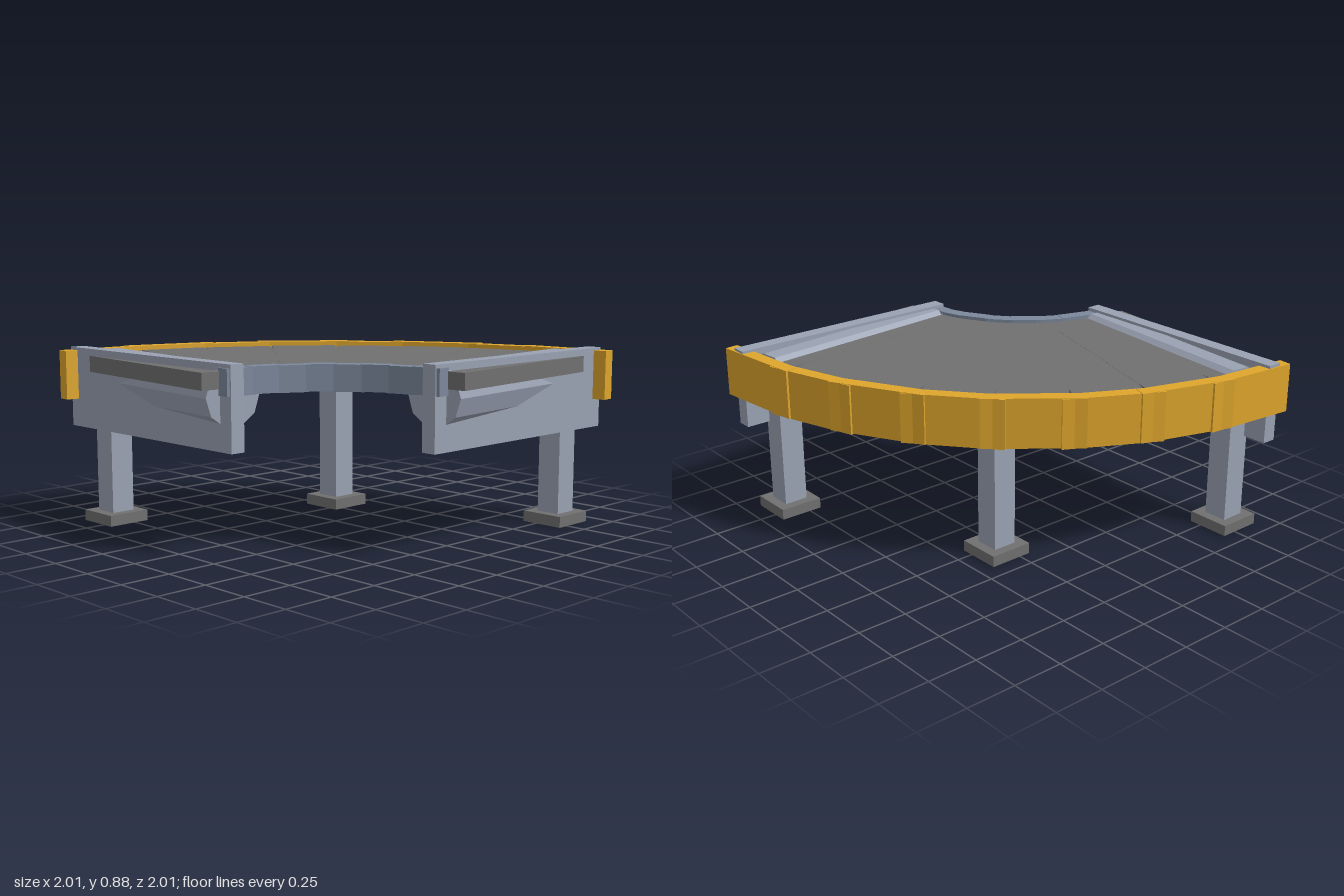
import * as THREE from 'three';

const paint = (color) => new THREE.MeshStandardMaterial({ color, flatShading: true });
const STEEL = paint(0x9aa2b3);
const INNER = paint(0x7c889c);
const YELLOW = paint(0xdfa62c);
const DARK = paint(0x707070);

const CENTRE = 0.905; // the bend turns about (-CENTRE, CENTRE)
const SEGMENTS = 8;
const STEP = Math.PI / 2 / SEGMENTS;

function box(name, mat, w, h, d, x, y, z) {
  const mesh = new THREE.Mesh(new THREE.BoxGeometry(w, h, d), mat);
  mesh.name = name;
  mesh.position.set(x, y, z);
  return mesh;
}

// A pivot at the bend's centre; its local -z points outward along the angle
function spoke(name, angle) {
  const pivot = new THREE.Group();
  pivot.name = name;
  pivot.position.set(-CENTRE, 0, CENTRE);
  pivot.rotation.y = -angle;
  return pivot;
}

export function createModel() {
  const model = new THREE.Group();
  model.name = 'curvedConveyor';

  // Belt plates and straight rail pieces fanned around the bend
  for (let i = 0; i < SEGMENTS; i++) {
    const section = spoke('bendSection', (i + 0.5) * STEP);
    const lift = (i % 2) * 0.002;
    section.add(
      box('beltPlate', DARK, 0.338, 0.08, 1.14, 0, 0.81 + lift / 2, -1.275),
      box('outerRail', YELLOW, 0.49, 0.245, 0.068, 0, 0.748 + lift, -1.86),
      box('innerRail', INNER, 0.155, 0.125, 0.068, 0, 0.804 + lift, -0.676)
    );
    model.add(section);
  }

  // Ten-sided rollers under the first and last plates
  for (const i of [0, SEGMENTS - 1]) {
    const end = spoke('rollerMount', (i + 0.5) * STEP);
    const geo = new THREE.CylinderGeometry(0.145, 0.145, 1.1, 10);
    geo.rotateY(Math.PI / 2); // a corner points sideways, a flat faces down
    geo.rotateX(Math.PI / 2);
    const roller = new THREE.Mesh(geo, STEEL);
    roller.name = 'roller';
    roller.position.set(0, 0.733, -1.26);
    end.add(roller);
    model.add(end);
  }

  // Upright panels across both ends
  model.add(
    box('backEndPanel', STEEL, 0.075, 0.4, 1.255, -0.867, 0.685, -0.36),
    box('frontEndPanel', STEEL, 1.255, 0.4, 0.075, 0.36, 0.685, 0.865)
  );

  // Legs with square feet
  for (const [x, z] of [[-0.785, -0.8], [0.305, -0.305], [0.8, 0.785]]) {
    const leg = new THREE.Group();
    leg.name = 'leg';
    leg.position.set(x, 0, z);
    leg.add(
      box('post', STEEL, 0.125, 0.74, 0.125, 0, 0.41, 0),
      box('foot', DARK, 0.225, 0.055, 0.225, 0, 0.0275, 0)
    );
    model.add(leg);
  }
  return model;
}
